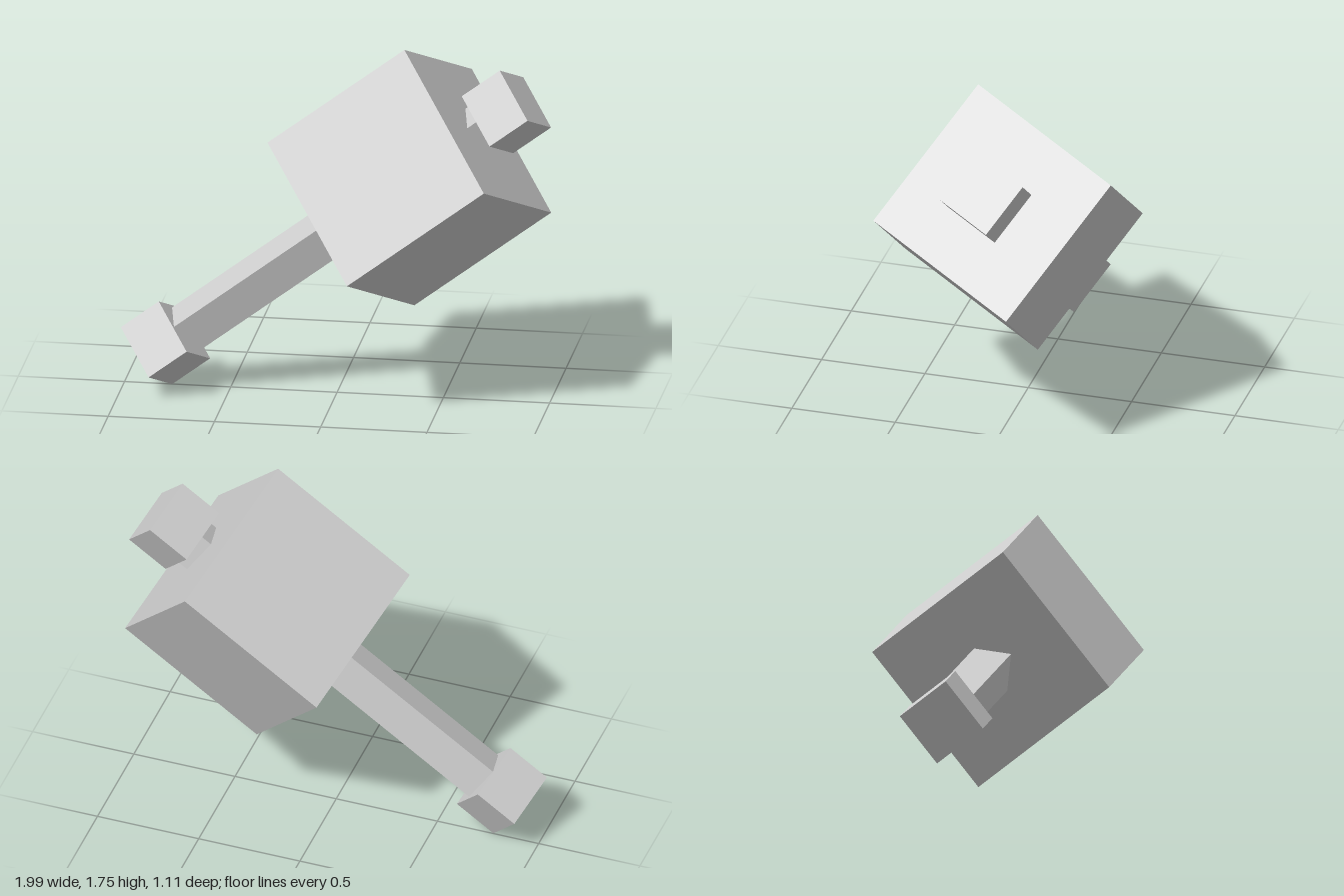
import * as THREE from 'three';

export function createModel() {
  const model = new THREE.Group();
  model.name = 'mallet';
  const material = new THREE.MeshStandardMaterial({ color: 0xcccccc, flatShading: true });

  // Adds a part centred at height y on the mallet's long axis
  const add = (name, geometry, y) => {
    const mesh = new THREE.Mesh(geometry, material);
    mesh.name = name;
    mesh.position.y = y;
    model.add(mesh);
  };

  // Cubic head, centred on the group's origin
  add('head', new THREE.BoxGeometry(0.8, 0.8, 0.8), 0);

  // Square shaft, turned 45 degrees to the head and running through it
  const bottom = -1.425, top = 0.567;
  add('shaft', new THREE.CylinderGeometry(0.125, 0.125, top - bottom, 4), (top + bottom) / 2);

  // Block at each end of the shaft
  add('pommel', new THREE.BoxGeometry(0.28, 0.222, 0.28), bottom);
  add('topCap', new THREE.BoxGeometry(0.28, 0.222, 0.28), top);

  // Lean the long axis over and roll the mallet around it
  const axis = new THREE.Vector3(0.8, 0.6, -0.0375).normalize();
  const side = new THREE.Vector3(-0.2625, 0.4, 0.875);
  const depth = side.clone().cross(axis).normalize();
  side.crossVectors(axis, depth);
  model.quaternion.setFromRotationMatrix(new THREE.Matrix4().makeBasis(side, axis, depth));
  model.position.set(0.34, 1.085, 0);

  const root = new THREE.Group();
  root.add(model);
  return root;
}
